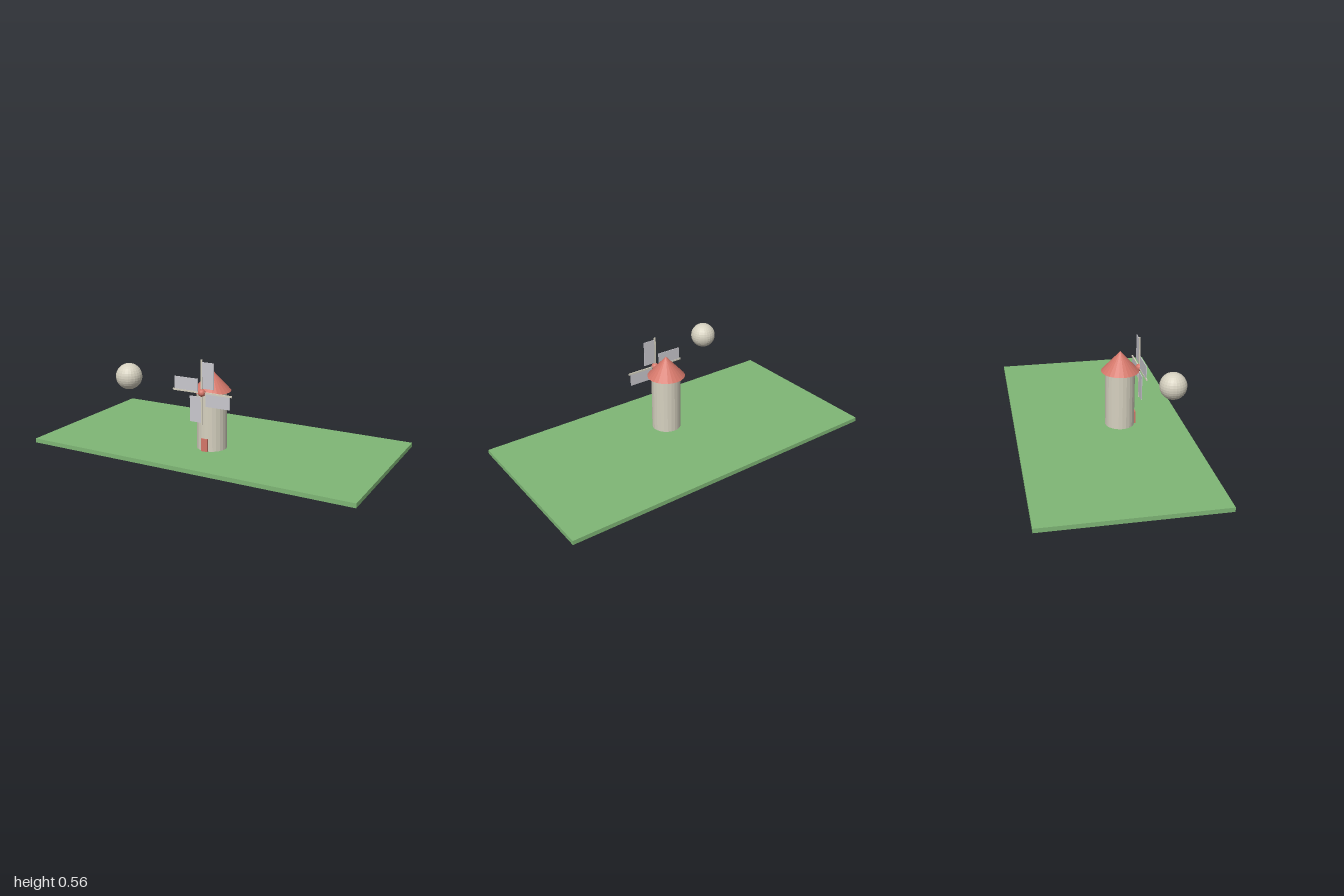
import * as THREE from 'three';

export function createModel() {
  const model = new THREE.Group();
  model.name = 'windmillScene';

  const paint = (name, color, flatShading = true) => {
    const m = new THREE.MeshStandardMaterial({ color, flatShading });
    m.name = name;
    return m;
  };
  const grass = paint('grassGreen', 0x7fb776);
  const stone = paint('warmStone', 0xd6d1c0);
  const red = paint('brickRed', 0xd4776a);
  const canvas = paint('paleGreyCanvas', 0xcac9cf);

  const add = (parent, name, geometry, material, x, y, z) => {
    const mesh = new THREE.Mesh(geometry, material);
    mesh.name = name;
    mesh.position.set(x, y, z);
    parent.add(mesh);
    return mesh;
  };

  // Ground slab
  add(model, 'ground', new THREE.BoxGeometry(2, 0.025, 1), grass, 0, 0.0125, 0);

  // Tower, conical roof and door
  add(model, 'tower', new THREE.CylinderGeometry(0.087, 0.087, 0.34, 24), stone, 0, 0.195, 0.125);
  add(model, 'roof', new THREE.ConeGeometry(0.1115, 0.1225, 24), red, 0, 0.42625, 0.125);
  add(model, 'door', new THREE.BoxGeometry(0.04, 0.075, 0.02), red, 0, 0.0625, 0.209);

  // Four sails turning about the hub
  const rotor = new THREE.Group();
  rotor.name = 'rotor';
  rotor.position.set(0, 0.377, 0.239);
  model.add(rotor);
  add(rotor, 'hub', new THREE.SphereGeometry(0.022, 16, 12), red, 0, 0, 0);
  for (let i = 0; i < 4; i++) {
    const sail = new THREE.Group();
    sail.name = 'sail';
    sail.rotation.z = -i * Math.PI / 2;
    rotor.add(sail);
    add(sail, 'spar', new THREE.BoxGeometry(0.01, 0.1875, 0.007), stone, 0, 0.09375, 0);
    add(sail, 'blade', new THREE.BoxGeometry(0.075, 0.15, 0.004), canvas, 0.0395, 0.1, 0);
  }

  // Floating ball
  add(model, 'ball', new THREE.SphereGeometry(0.075, 24, 16), stone, -0.427, 0.44, 0.324);

  return model;
}
